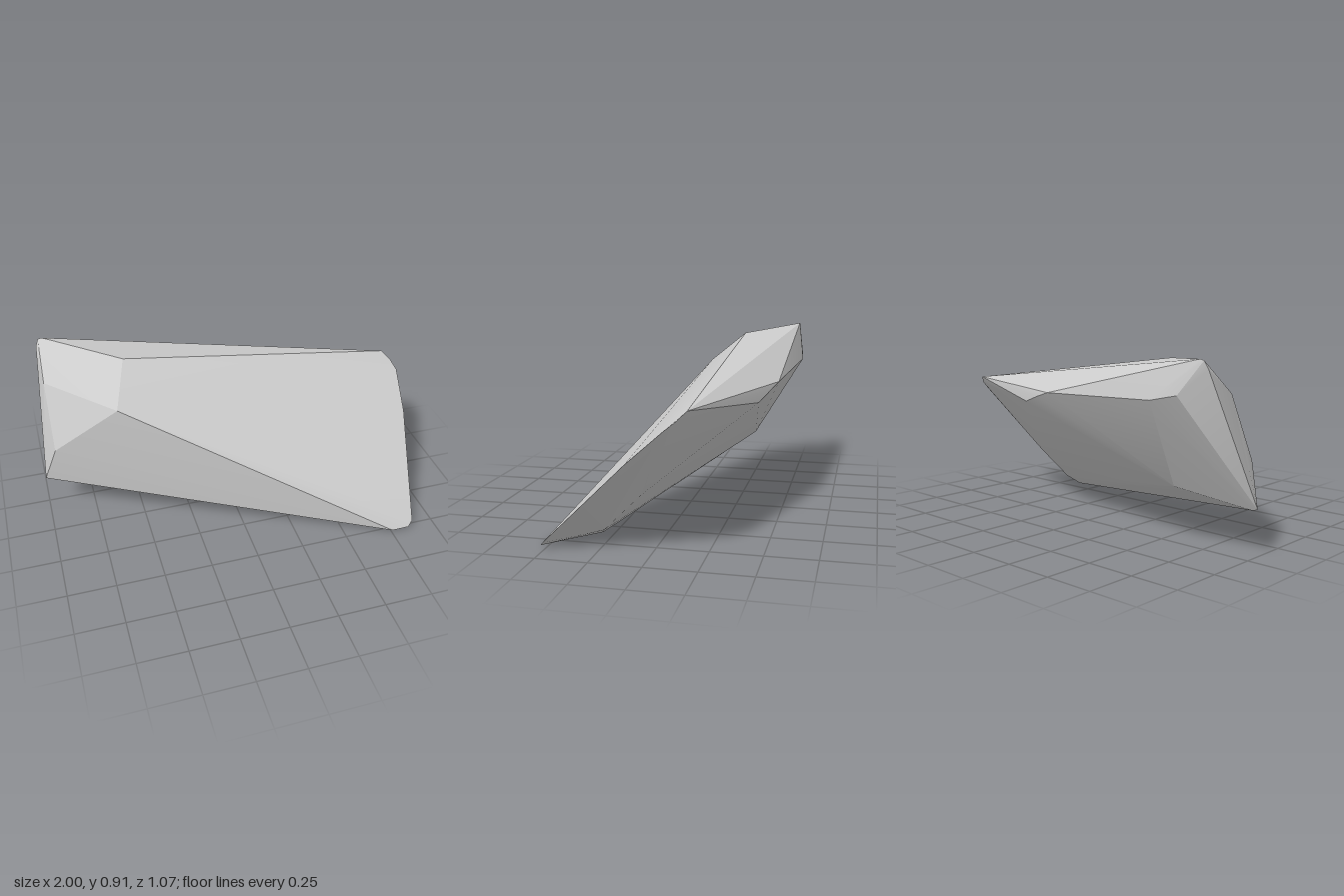
import * as THREE from 'three';
import { ConvexGeometry } from 'three/addons/geometries/ConvexGeometry.js';
import { toCreasedNormals } from 'three/addons/utils/BufferGeometryUtils.js';

export function createModel() {
  const group = new THREE.Group();
  group.name = 'rock';

  // Corners of the slanted, chipped stone slab
  const corners = [
    // upper left peak
    [-0.90, 0.91, -0.49], [-0.92, 0.905, -0.49], [-0.935, 0.87, -0.48],
    // front ridge
    [-0.52, 0.88, -0.21], [-0.60, 0.71, 0.0],
    // left end
    [-0.93, 0.75, -0.30], [-0.93, 0.43, -0.13], [-1.0, 0.22, -0.18], [-0.97, 0.213, -0.18],
    // right end, top to bottom
    [0.94, 0.69, -0.19], [0.98, 0.65, -0.15], [1.0, 0.61, -0.10], [0.98, 0.45, 0.08],
    [0.88, 0.03, 0.51], [0.85, 0.007, 0.53], [0.76, 0.0, 0.525],
    // underside
    [0.62, 0.01, 0.30], [0.70, 0.05, 0.27], [0.72, 0.24, 0.08], [-0.59, 0.28, -0.27],
    // back
    [0.30, 0.62, -0.405], [0.17, 0.66, -0.445], [0.06, 0.69, -0.475],
    [-0.66, 0.72, -0.535], [-0.80, 0.75, -0.52],
  ].map((p) => new THREE.Vector3(...p));

  // Slightly softened shading across the shallow edges only
  const geometry = toCreasedNormals(new ConvexGeometry(corners), 0.3);
  const stone = new THREE.Mesh(geometry, new THREE.MeshStandardMaterial({ color: 0xcccccc }));
  stone.name = 'stone';
  group.add(stone);
  return group;
}
